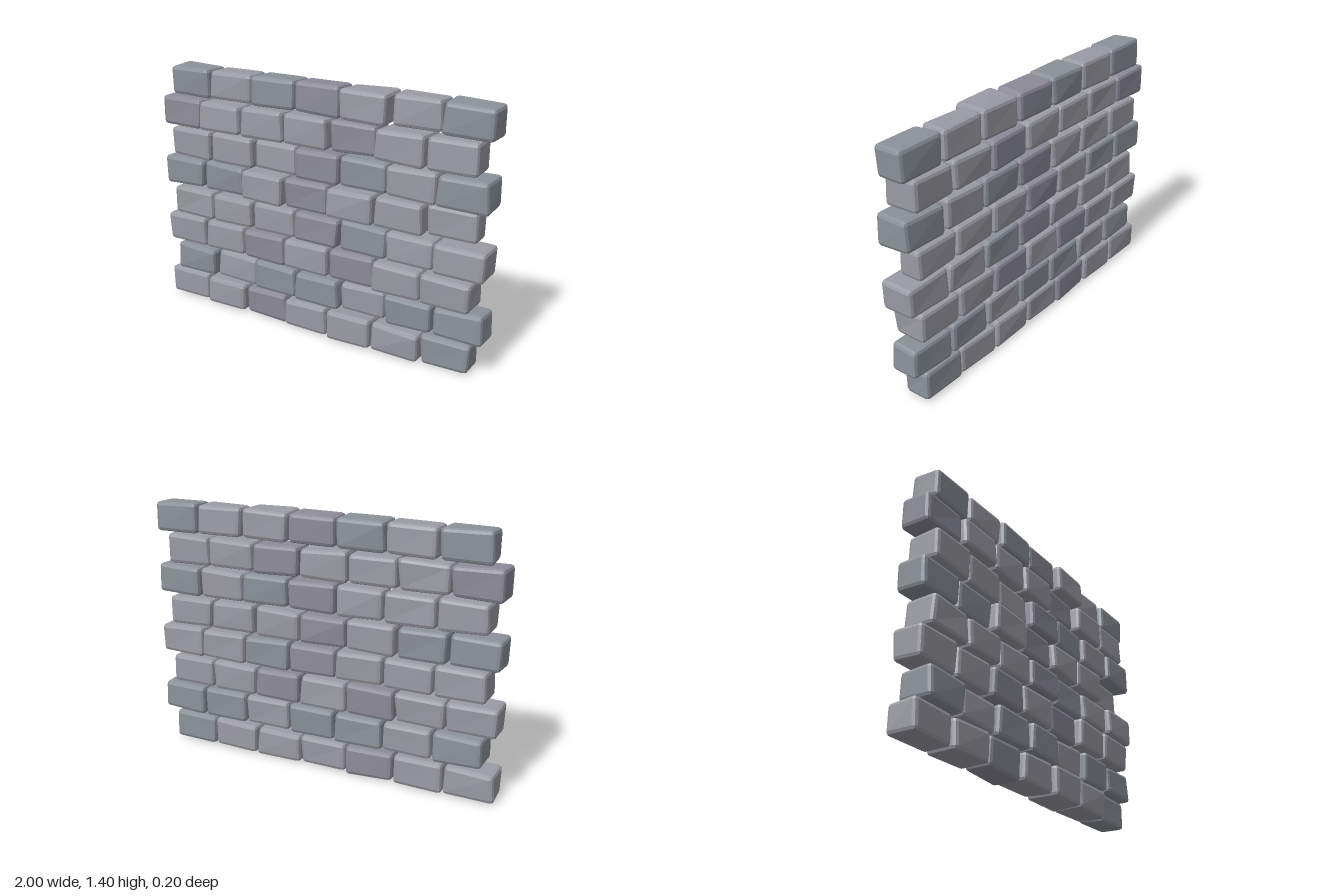
import * as THREE from 'three';

// One row per course, bottom to top: front depth (hundredths) and tint of each brick
const fronts = ['6768985', '8578576', '7788699', '8878679', '7697983', '8758789', '7988598', '6676946'];
const tints = ['lldlllb', 'blbblbb', 'lldldll', 'llldbll', 'bbldlll', 'llldblb', 'dllldll', 'blbdllb'];
const colors = { l: 0x9b9ba4, b: 0x8c9199, d: 0x8c8b98 };

const COLUMNS = 7, PITCH_X = 0.276, PITCH_Y = 0.176;
const WIDTH = 0.265, HEIGHT = 0.161, BACK = -0.095, BEVEL = 0.02;

function seeded(seed) {
  return () => {
    seed = (seed * 16807) % 2147483647;
    return seed / 2147483647;
  };
}

// Bevelled block whose eight corners are nudged to look hand cut
function brickGeometry(w, h, d, rand) {
  const geometry = new THREE.BoxGeometry(3, 3, 3, 3, 3, 3);
  const pos = geometry.attributes.position;
  const half = [w / 2, h / 2, d / 2];
  const nudges = Array.from({ length: 8 }, () => [0.012, 0.011, 0.01].map((a) => (rand() - 0.5) * a));
  for (let i = 0; i < pos.count; i++) {
    const v = [pos.getX(i), pos.getY(i), pos.getZ(i)];
    const outer = v.map((c) => Math.abs(c) > 1);
    const reach = BEVEL / Math.sqrt(outer.filter(Boolean).length);
    const corner = (v[0] > 0 ? 1 : 0) + (v[1] > 0 ? 2 : 0) + (v[2] > 0 ? 4 : 0);
    const p = v.map((c, k) =>
      Math.sign(c) * (half[k] - BEVEL + (outer[k] ? reach : 0)) + nudges[corner][k]);
    pos.setXYZ(i, ...p);
  }
  geometry.computeVertexNormals();
  return geometry;
}

export function createModel() {
  const wall = new THREE.Group();
  wall.name = 'brickWall';
  const rand = seeded(4711);
  const materials = {};
  for (const key in colors) {
    materials[key] = new THREE.MeshStandardMaterial({ color: colors[key], flatShading: true });
  }

  // Courses shift left and right alternately
  fronts.forEach((depths, row) => {
    const course = new THREE.Group();
    course.name = `course${row + 1}`;
    course.position.set(row % 2 ? 0.034 : -0.034, 0.088 + row * PITCH_Y, 0);
    for (let col = 0; col < COLUMNS; col++) {
      const front = Number(depths[col]) / 100 + 0.003;
      const depth = front - BACK;
      const brick = new THREE.Mesh(brickGeometry(WIDTH, HEIGHT, depth, rand), materials[tints[row][col]]);
      brick.name = `brick${col + 1}`;
      brick.position.set((col - (COLUMNS - 1) / 2) * PITCH_X, 0, (front + BACK) / 2);
      course.add(brick);
    }
    wall.add(course);
  });
  return wall;
}
